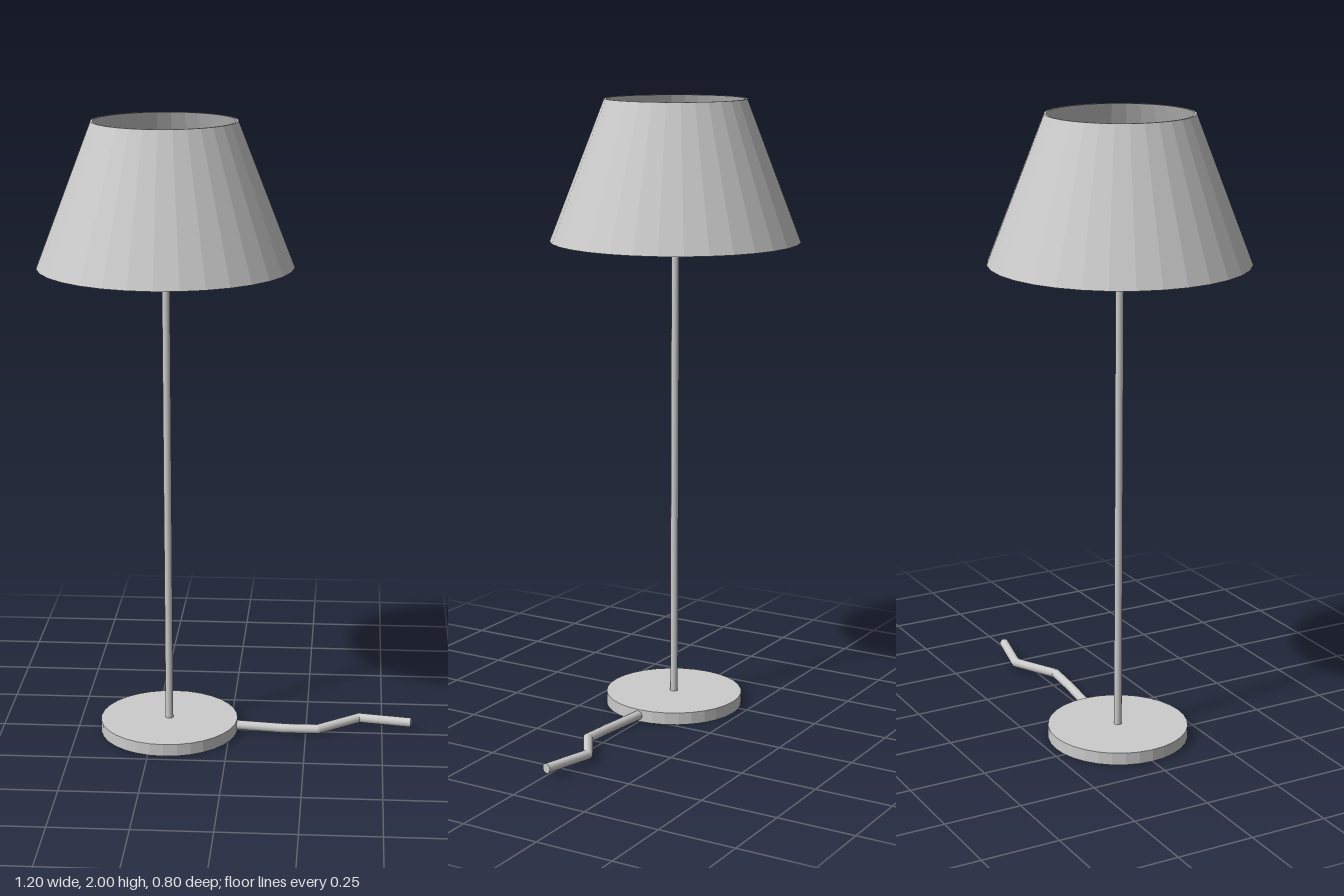
import * as THREE from 'three';

const material = new THREE.MeshStandardMaterial({ color: 0xcccccc, flatShading: true });
const smooth = new THREE.MeshStandardMaterial({ color: 0xcccccc });
const thin = new THREE.MeshStandardMaterial({ color: 0xcccccc, flatShading: true, side: THREE.DoubleSide });

function part(name, geometry, y = 0, mat = material) {
  const mesh = new THREE.Mesh(geometry, mat);
  mesh.name = name;
  mesh.position.y = y;
  return mesh;
}

// Straight round bar between two points
function rod(name, a, b, radius, sides, mat = smooth) {
  const dir = b.clone().sub(a);
  const mesh = part(name, new THREE.CylinderGeometry(radius, radius, dir.length(), sides), 0, mat);
  mesh.position.copy(a).add(b).multiplyScalar(0.5);
  mesh.quaternion.setFromUnitVectors(new THREE.Vector3(0, 1, 0), dir.normalize());
  return mesh;
}

function lathe(points, sides) {
  return new THREE.LatheGeometry(points.map(([r, y]) => new THREE.Vector2(r, y)), sides);
}

export function createModel() {
  const model = new THREE.Group();
  model.name = 'floorLamp';

  const lamp = new THREE.Group();
  lamp.name = 'lamp';
  lamp.position.x = -0.2;
  model.add(lamp);

  // Foot and stem
  lamp.add(part('base', new THREE.CylinderGeometry(0.225, 0.225, 0.04, 32), 0.02));
  lamp.add(part('pole', new THREE.CylinderGeometry(0.0125, 0.0125, 1.58, 16), 0.82, smooth));

  // Open tapered shade with a thin wall
  lamp.add(part('shade', lathe([
    [0.395, 1.55], [0.402, 1.55], [0.227, 2], [0.22, 2], [0.395, 1.55],
  ], 32), 0, thin));

  // Bulb holder, collar and bulb
  lamp.add(part('socket', lathe([
    [0, 1.57], [0.02, 1.57], [0.03, 1.64], [0.03, 1.66], [0.024, 1.66], [0, 1.65],
  ], 20), 0, thin));
  lamp.add(part('collar', lathe([
    [0.03, 1.635], [0.042, 1.635], [0.042, 1.648], [0.03, 1.648], [0.03, 1.635],
  ], 24), 0, thin));
  lamp.add(part('bulb', new THREE.SphereGeometry(0.026, 20, 14), 1.675, smooth));

  // Three arms rising from the collar to the shade
  for (const degrees of [48, 180, 312]) {
    const c = Math.cos(degrees * Math.PI / 180);
    const s = Math.sin(degrees * Math.PI / 180);
    lamp.add(rod('shadeArm',
      new THREE.Vector3(0.035 * c, 1.642, 0.035 * s),
      new THREE.Vector3(0.332 * c, 1.72, 0.332 * s), 0.0035, 8));
  }

  // Power cable lying on the floor in bent lengths
  const cable = new THREE.Group();
  cable.name = 'cable';
  const path = [
    [-0.02, 0.02, 0], [0.18, 0.02, 0.024], [0.29, 0.023, 0.03],
    [0.424, 0.03, -0.055], [0.596, 0.034, -0.016],
  ].map((p) => new THREE.Vector3(...p));
  for (let i = 1; i < path.length; i++) {
    cable.add(rod('cableLength', path[i - 1], path[i], 0.0155, 12));
    if (i < path.length - 1) {
      const joint = part('cableBend', new THREE.SphereGeometry(0.0155, 12, 8), 0, smooth);
      joint.position.copy(path[i]);
      cable.add(joint);
    }
  }
  model.add(cable);

  return model;
}
